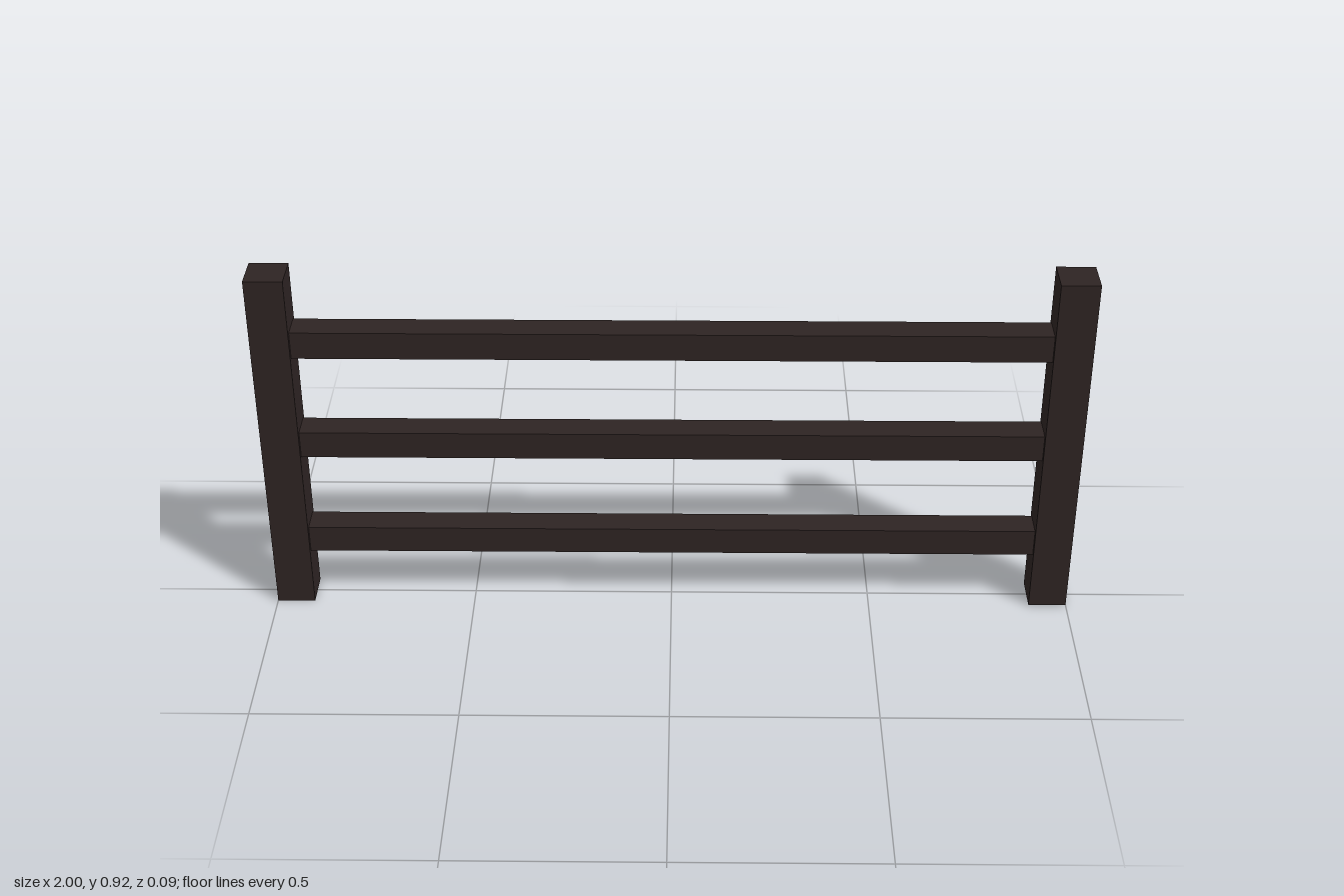
import * as THREE from 'three';

export function createModel() {
  const group = new THREE.Group();
  const darkWood = new THREE.MeshStandardMaterial({ color: 0x2e2423 });
  darkWood.name = 'darkWood';

  const addBox = (name, w, h, d, x, y) => {
    const mesh = new THREE.Mesh(new THREE.BoxGeometry(w, h, d), darkWood);
    mesh.name = name;
    mesh.position.set(x, y, 0);
    group.add(mesh);
  };

  const postSize = 0.094, postHeight = 0.92, railSize = 0.07;

  // Square end posts
  for (const [name, side] of [['leftPost', 1], ['rightPost', -1]]) {
    addBox(name, postSize, postHeight, postSize, side * (1 - postSize / 2), postHeight / 2);
  }

  // Horizontal rails butted between the posts
  const rails = [['lowerRail', 0.183], ['middleRail', 0.462], ['upperRail', 0.741]];
  for (const [name, y] of rails) {
    addBox(name, 2 - 2 * postSize, railSize, railSize, 0, y);
  }

  return group;
}
